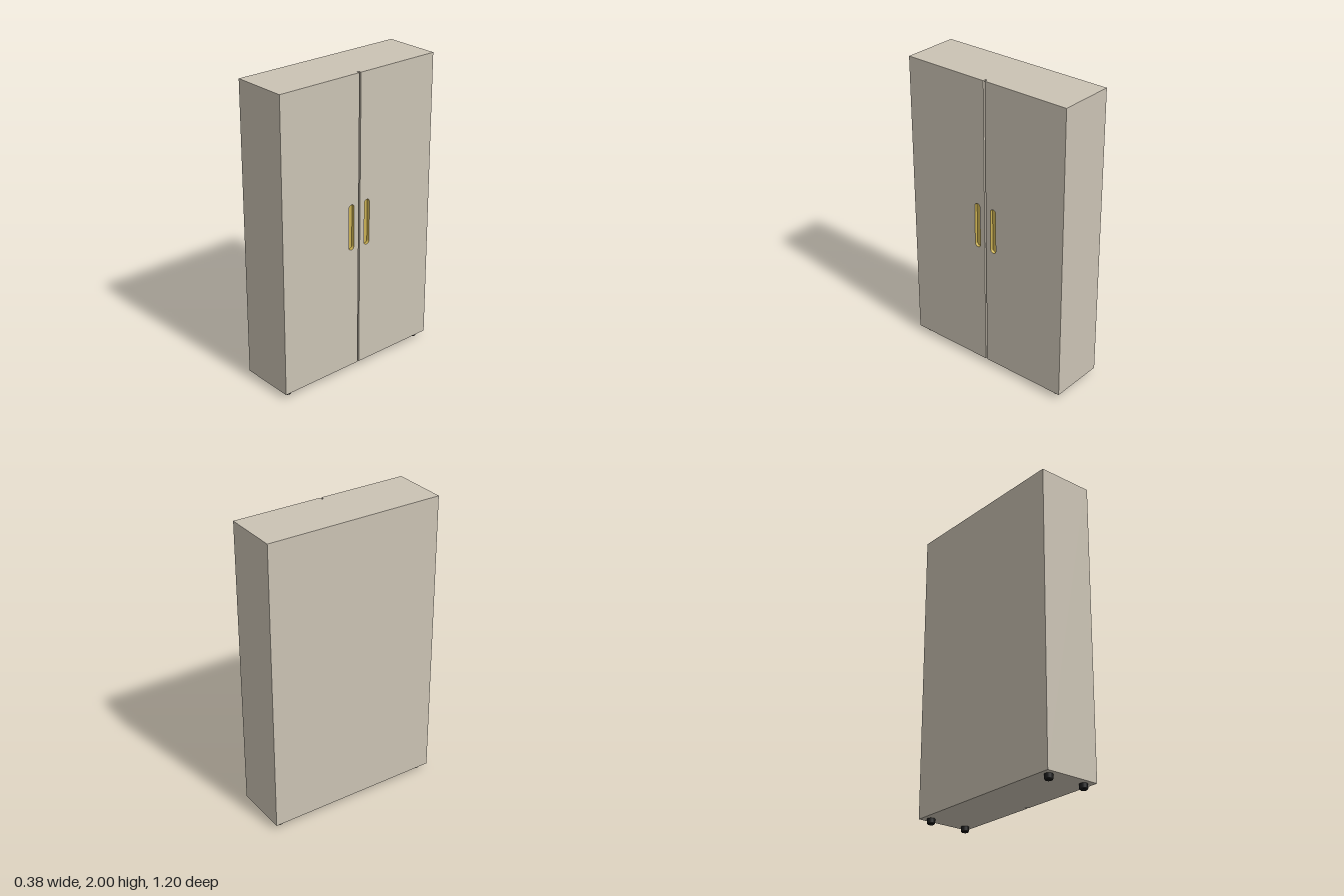
import * as THREE from 'three';

const ARC = 12;
const BACK = -0.1875, FRONT = 0.1875, DOOR = 0.022; // cabinet depth runs along x
const BOTTOM = 0.035, TOP = 2, HALF_WIDTH = 0.6, HALF_GAP = 0.006;
const GRIP = { offset: 0.063, y0: 0.887, y1: 1.152, r: 0.021 };

const shell = new THREE.MeshStandardMaterial({ color: 0xcbc3b4 });
shell.name = 'beige lacquer';
const brass = new THREE.MeshStandardMaterial({ color: 0xc9af52 });
brass.name = 'brass';
const rubber = new THREE.MeshStandardMaterial({ color: 0x1c1c1c });
rubber.name = 'black rubber';

function addMesh(parent, name, geometry, material, x = 0, y = 0, z = 0) {
  const mesh = new THREE.Mesh(geometry, material);
  mesh.name = name;
  mesh.position.set(x, y, z);
  parent.add(mesh);
  return mesh;
}

// Upright slot outline with round ends
function slot(u, r) {
  const shape = new THREE.Shape();
  shape.absarc(u, GRIP.y1, r, 0, Math.PI);
  shape.absarc(u, GRIP.y0, r, Math.PI, Math.PI * 2);
  return shape;
}

// Door panel with a slot cut out, drawn flat and turned to face +x
function doorGeometry(side) {
  const a = side * HALF_GAP, b = side * HALF_WIDTH;
  const shape = new THREE.Shape([
    new THREE.Vector2(a, BOTTOM), new THREE.Vector2(b, BOTTOM),
    new THREE.Vector2(b, TOP), new THREE.Vector2(a, TOP),
  ]);
  shape.holes.push(slot(side * GRIP.offset, GRIP.r));
  return new THREE.ExtrudeGeometry(shape, { depth: DOOR, bevelEnabled: false, curveSegments: ARC })
    .rotateY(Math.PI / 2);
}

// Slightly tapered wall of the recessed grip
function gripWallGeometry(u, innerR, depth) {
  const outer = slot(u, GRIP.r).getPoints(ARC);
  const inner = slot(u, innerR).getPoints(ARC);
  const n = outer.length, positions = [], index = [];
  for (const p of outer) positions.push(p.x, p.y, 0);
  for (const p of inner) positions.push(p.x, p.y, -depth);
  for (let i = 0; i < n; i++) {
    const j = (i + 1) % n;
    index.push(i, j, n + j, i, n + j, n + i);
  }
  const geometry = new THREE.BufferGeometry();
  geometry.setAttribute('position', new THREE.Float32BufferAttribute(positions, 3));
  geometry.setIndex(index);
  geometry.computeVertexNormals();
  return geometry.rotateY(Math.PI / 2);
}

export function createModel() {
  const model = new THREE.Group();
  model.name = 'wardrobe';

  // Carcass behind the doors
  const depth = FRONT - DOOR - BACK;
  addMesh(model, 'carcass', new THREE.BoxGeometry(depth, TOP - BOTTOM, HALF_WIDTH * 2), shell,
    BACK + depth / 2, (TOP + BOTTOM) / 2);

  // Two doors with recessed brass grips
  for (const side of [-1, 1]) {
    const label = side < 0 ? 'left' : 'right';
    addMesh(model, label + 'Door', doorGeometry(side), shell, FRONT - DOOR);

    const grip = new THREE.Group();
    grip.name = label + 'Grip';
    const u = side * GRIP.offset, innerR = GRIP.r - 0.003, sink = 0.018;
    addMesh(grip, 'gripWall', gripWallGeometry(u, innerR, sink), brass, FRONT);
    addMesh(grip, 'gripFloor',
      new THREE.ShapeGeometry(slot(u, innerR), ARC).rotateY(Math.PI / 2), brass, FRONT - sink);
    model.add(grip);
  }

  // Four round feet with a chamfered lower edge
  for (const x of [-0.133, 0.133]) {
    for (const z of [-0.546, 0.546]) {
      const foot = new THREE.Group();
      foot.name = 'foot';
      foot.position.set(x, 0, z);
      addMesh(foot, 'footBody', new THREE.CylinderGeometry(0.026, 0.026, 0.027, 20), rubber, 0, 0.0215);
      addMesh(foot, 'footChamfer', new THREE.CylinderGeometry(0.026, 0.021, 0.008, 20), rubber, 0, 0.004);
      model.add(foot);
    }
  }
  return model;
}
